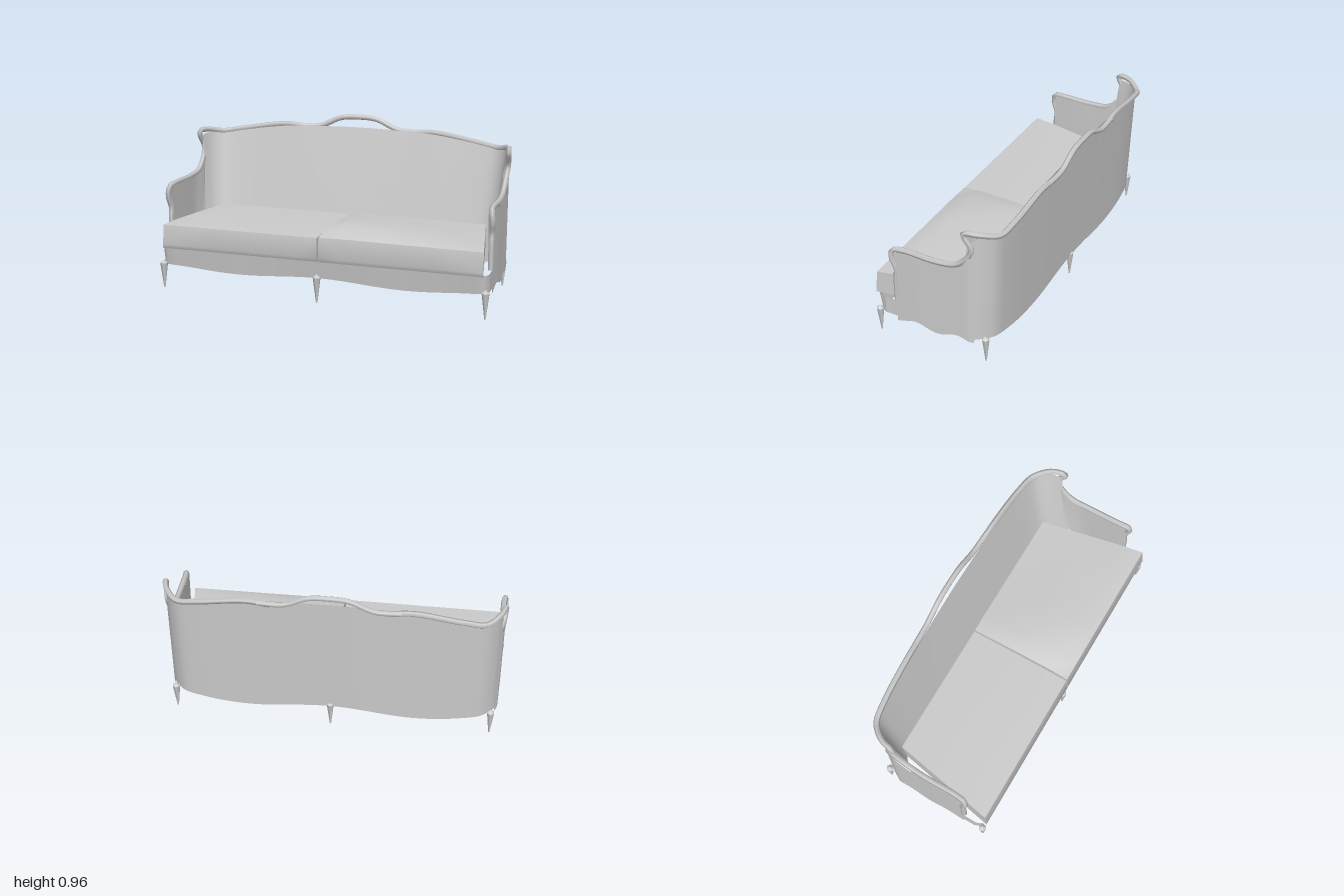
import * as THREE from 'three';
import { toCreasedNormals } from 'three/addons/utils/BufferGeometryUtils.js';

const V = (x, y, z) => new THREE.Vector3(x, y, z);

// Surface through rows of points, all rows equally long
function grid(rows, crease = 0.9) {
  const n = rows[0].length, index = [];
  for (let r = 0; r < rows.length - 1; r++) {
    for (let c = 0; c < n - 1; c++) {
      const a = r * n + c, b = a + n;
      index.push(a, a + 1, b, a + 1, b + 1, b);
    }
  }
  const g = new THREE.BufferGeometry().setFromPoints(rows.flat());
  g.setIndex(index);
  return toCreasedNormals(g, crease);
}

// Half path (from +x towards the middle) completed by mirroring
function mirrored(half) {
  const pts = half.map(p => V(...p));
  const other = pts.filter(p => p.x > 0.001).map(p => V(-p.x, p.y, p.z)).reverse();
  return new THREE.CatmullRomCurve3([...pts, ...other], false, 'centripetal');
}

// Scalloped lower edge of the upholstery
function hem(p) {
  if (p.z > -0.24) return 0.126 - 0.016 * Math.cos(p.z * 24);
  return 0.12 + 0.02 * Math.cos(p.x * Math.PI * 2);
}

export function createModel() {
  const fabric = new THREE.MeshStandardMaterial({ color: 0xcccccc, side: THREE.DoubleSide });
  fabric.name = 'light grey';
  const model = new THREE.Group();
  const add = (name, geometry) => {
    const m = new THREE.Mesh(geometry, fabric);
    m.name = name;
    model.add(m);
    return m;
  };

  // Outer shell: arms, rounded corners and back in one sheet
  const outer = mirrored([
    [0.975, 0.58, 0.25], [0.975, 0.575, 0.1], [0.97, 0.575, -0.05], [0.968, 0.60, -0.14],
    [0.965, 0.68, -0.2], [0.955, 0.79, -0.23], [0.93, 0.82, -0.28], [0.87, 0.81, -0.335],
    [0.75, 0.83, -0.357], [0.47, 0.87, -0.367], [0.25, 0.88, -0.37], [0, 0.885, -0.372]]).getPoints(110);
  const levels = [0, 0.2, 0.45, 0.7, 1];
  add('outerShell', grid(levels.map(t => outer.map(p => {
    const y = THREE.MathUtils.lerp(hem(p), p.y, t);
    const lean = THREE.MathUtils.smoothstep(-p.z, 0.1, 0.34) * 0.03 * (1 - t);
    return V(p.x, y, p.z + lean);
  }))));

  // Inner lining: upright arms, back sloping forward to the seat
  const topEdge = mirrored([
    [0.945, 0.59, 0.25], [0.94, 0.59, 0.1], [0.94, 0.59, -0.05], [0.935, 0.62, -0.12],
    [0.935, 0.70, -0.19], [0.95, 0.81, -0.2], [0.92, 0.82, -0.28], [0.86, 0.81, -0.33],
    [0.75, 0.83, -0.35], [0.47, 0.87, -0.362], [0.25, 0.88, -0.367], [0, 0.885, -0.37]]).getPoints(88);
  const seatEdge = mirrored([
    [0.95, 0.25, 0.25], [0.945, 0.25, 0.1], [0.94, 0.25, -0.02], [0.93, 0.25, -0.07],
    [0.92, 0.25, -0.11], [0.9, 0.25, -0.15], [0.87, 0.25, -0.19], [0.82, 0.25, -0.22],
    [0.73, 0.25, -0.235], [0.47, 0.25, -0.24], [0.25, 0.25, -0.24], [0, 0.25, -0.24]]).getPoints(88);
  add('innerLining', grid([0, 0.25, 0.5, 0.75, 1].map(t =>
    seatEdge.map((p, i) => p.clone().lerp(topEdge[i], t)))));

  // Carved trim along the fronts of the arms, the wings and the back
  const trimHalf = [
    [0.965, 0.25, 0.25], [0.965, 0.40, 0.25], [0.965, 0.46, 0.245], [0.972, 0.53, 0.268],
    [0.965, 0.585, 0.262], [0.958, 0.595, 0.2], [0.956, 0.592, 0], [0.95, 0.61, -0.12],
    [0.95, 0.67, -0.19], [0.955, 0.74, -0.225], [0.965, 0.835, -0.18], [0.945, 0.84, -0.26],
    [0.87, 0.82, -0.345], [0.75, 0.838, -0.368], [0.47, 0.88, -0.38], [0.33, 0.87, -0.385]];
  for (const s of [1, -1]) {
    const path = new THREE.CatmullRomCurve3(trimHalf.map(p => V(s * p[0], p[1], p[2])), false, 'centripetal');
    add(s > 0 ? 'leftTrim' : 'rightTrim', new THREE.TubeGeometry(path, 70, 0.017, 5, false));
  }

  // Arched crest rail standing clear of the back
  const arch = mirrored([[0.4, 0.875, -0.385], [0.25, 0.88, -0.39], [0.11, 0.937, -0.392], [0, 0.945, -0.393]]);
  add('crestRail', new THREE.TubeGeometry(arch, 36, 0.016, 6, false));

  // Front seat rail with rounded corners
  const rail = mirrored([
    [0.975, 0, 0.2], [0.975, 0, 0.28], [0.972, 0, 0.35], [0.95, 0, 0.378],
    [0.8, 0, 0.382], [0.5, 0, 0.382], [0.25, 0, 0.382], [0, 0, 0.382]]).getPoints(84);
  add('frontRail', grid([0, 0.5, 1].map(t => rail.map(p => {
    const low = 0.13 + 0.012 * Math.cos(p.x * Math.PI * 2);
    const bow = p.z > 0.34 ? 0.02 * (1 - t) : 0;
    return V(p.x, THREE.MathUtils.lerp(low, 0.25, t), p.z - bow);
  }))));

  // Two seat cushions, tapering to the back; the left one is crowned
  const profile = [[0.385, 0.245], [0.397, 0.27], [0.385, 0.385], [0.27, 0.39], [0, 0.385], [-0.245, 0.375]];
  for (const s of [1, -1]) {
    const rows = profile.map(([z, y], r) => {
      const width = THREE.MathUtils.mapLinear(z, -0.245, 0.397, 0.83, 0.955);
      const crown = s > 0 ? [0, 0, 0.005, 0.045, 0.035, 0.01][r] : 0;
      const top = [0.005, 0.13, 0.4, 0.7, 1].map((u, i) =>
        V(s * u * width, y + crown * [0.3, 1, 0.7, 0.35, 0][i], z));
      return [V(s * 0.005, 0.245, z), ...top, V(s * width, 0.245, z)];
    });
    add(s > 0 ? 'leftCushion' : 'rightCushion', grid(rows, 0.6));
  }

  // Slim tapered legs
  const legs = [[0.965, 0.37], [-0.965, 0.37], [-0.01, 0.375], [0.93, -0.285], [-0.93, -0.285], [0, -0.332]];
  for (const [x, z] of legs) {
    const leg = add('leg', new THREE.CylinderGeometry(0.023, 0.004, 0.15, 6));
    leg.position.set(x, 0.075, z);
    const cap = add('legCap', new THREE.ConeGeometry(0.023, 0.02, 6));
    cap.position.set(x, 0.16, z);
  }
  return model;
}
